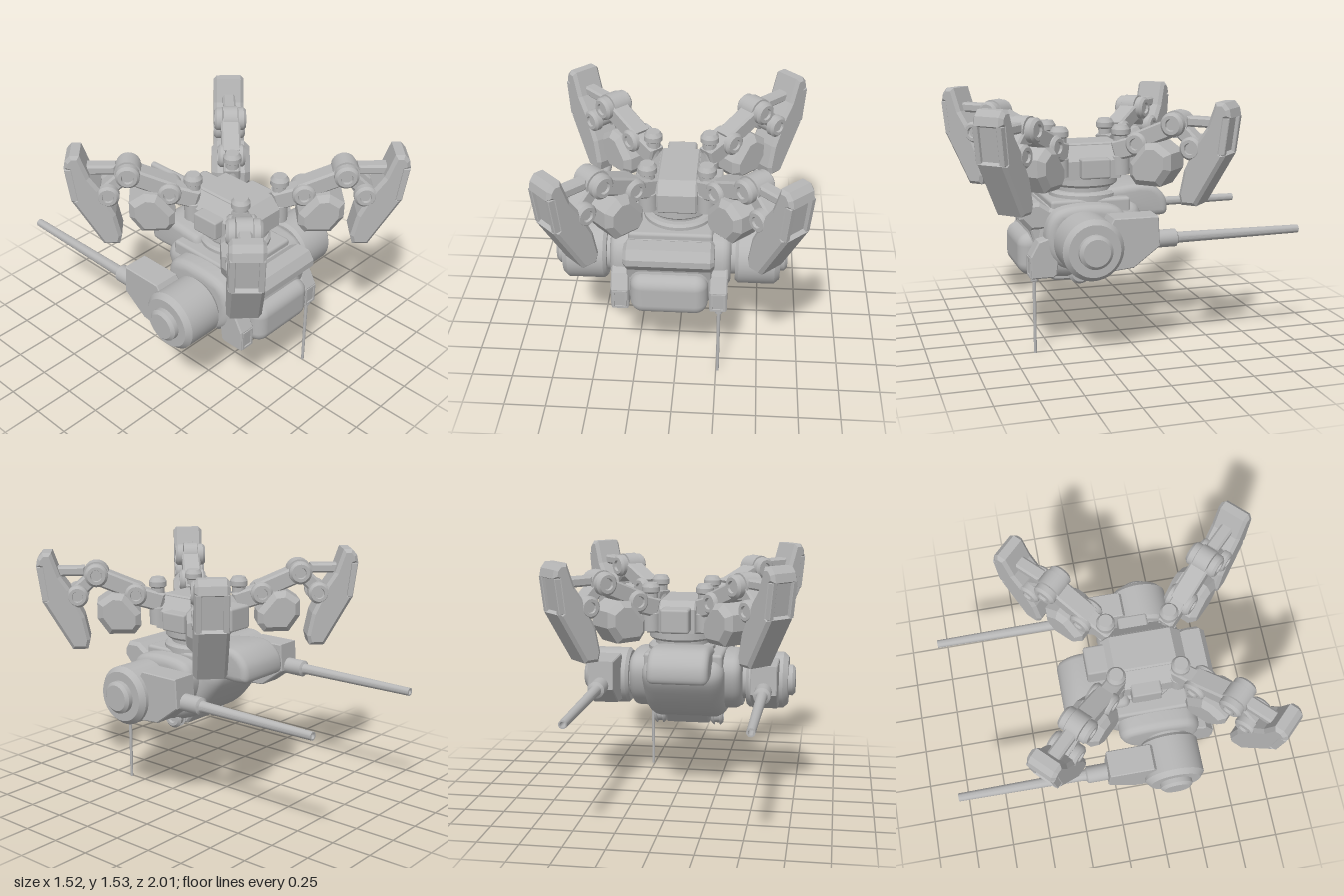
import * as THREE from 'three';
import { toCreasedNormals } from 'three/addons/utils/BufferGeometryUtils.js';
import { RoundedBoxGeometry } from 'three/addons/geometries/RoundedBoxGeometry.js';

const steel = new THREE.MeshStandardMaterial({ color: 0xb6b6b6 });
steel.name = 'steelGrey';

const CX = -0.037; // centreline of the gun body

function add(parent, name, geo, x = 0, y = 0, z = 0) {
  const m = new THREE.Mesh(geo, steel);
  m.name = name;
  m.position.set(x, y, z);
  parent.add(m);
  return m;
}

// Bevelled plate: outline in the x-y plane, centred on z
function plate(points, width, bevel = 0.012, round = 0) {
  let pts = points.map(p => new THREE.Vector2(p[0], p[1]));
  if (round) {
    const c = new THREE.CatmullRomCurve3(pts.map(p => new THREE.Vector3(p.x, p.y, 0)), true, 'centripetal');
    pts = c.getPoints(48).slice(0, -1).map(p => new THREE.Vector2(p.x, p.y));
  }
  const geo = new THREE.ExtrudeGeometry(new THREE.Shape(pts), {
    depth: width - 2 * bevel, bevelEnabled: bevel > 0, bevelThickness: bevel,
    bevelSize: bevel, bevelOffset: -bevel, bevelSegments: round || 1,
  });
  geo.translate(0, 0, -(width - 2 * bevel) / 2);
  return round ? toCreasedNormals(geo, 0.6) : geo;
}

// Same, with the outline given as (z, y) and the width along x
const sidePlate = (...a) => plate(...a).rotateY(-Math.PI / 2);

// Turned part: profile of [radius, height], sharp edges kept
function turned(profile, seg = 32) {
  const g = new THREE.LatheGeometry(profile.map(p => new THREE.Vector2(p[0], p[1])), seg);
  return toCreasedNormals(g, 0.5);
}

// Roller along z with dished hub caps on both ends
function roller(parent, name, u, v, r, half) {
  const b = r * 0.22;
  const geo = turned([[0, -half + b], [r * 0.45, -half + b], [r * 0.5, -half], [r * 0.78, -half], [r, -half + b],
    [r, -half * 0.5], [r * 0.8, -half * 0.45], [r * 0.8, half * 0.45], [r, half * 0.5],
    [r, half - b], [r * 0.78, half], [r * 0.5, half], [r * 0.45, half - b], [0, half - b]], 28);
  geo.rotateX(Math.PI / 2);
  return add(parent, name, geo, u, v, 0);
}

// Straight arm between two joints
function link(parent, name, a, b, h, w) {
  const dx = b[0] - a[0], dy = b[1] - a[1], l = Math.hypot(dx, dy) / 2;
  const m = add(parent, name, plate([[-l, -h / 2], [l, -h / 2], [l, h / 2], [-l, h / 2]], w),
    (a[0] + b[0]) / 2, (a[1] + b[1]) / 2, 0);
  m.rotation.z = Math.atan2(dy, dx);
}

// One leg, reaching along +x
function makeLeg() {
  const leg = new THREE.Group();
  leg.name = 'leg';
  add(leg, 'hipPivot', turned([[0, 1.06], [0.055, 1.06], [0.055, 1.17], [0.042, 1.18], [0.042, 1.295],
    [0.056, 1.305], [0.056, 1.335], [0.04, 1.36], [0, 1.36]]));
  link(leg, 'hipArm', [-0.03, 1.2], [0.14, 1.25], 0.12, 0.1);
  roller(leg, 'hipRoller', 0.14, 1.26, 0.07, 0.085);
  link(leg, 'upperArm', [0.12, 1.27], [0.38, 1.38], 0.11, 0.12);
  roller(leg, 'kneeRoller', 0.38, 1.39, 0.072, 0.1);
  add(leg, 'kneeDrum', new THREE.CylinderGeometry(0.08, 0.08, 0.09, 24).rotateX(Math.PI / 2), 0.38, 1.39, 0);
  link(leg, 'lowerArm', [0.37, 1.4], [0.52, 1.26], 0.09, 0.1);
  roller(leg, 'ankleRoller', 0.5, 1.26, 0.068, 0.1);
  link(leg, 'ankleStrut', [0.45, 1.41], [0.64, 1.41], 0.06, 0.08);
  add(leg, 'thighArmour', plate([[0.11, 1.07], [0.11, 1.15], [0.21, 1.27], [0.29, 1.28], [0.38, 1.22],
    [0.38, 1.12], [0.31, 1.02], [0.15, 1.02]], 0.24, 0.035));

  // Foot with a sunken panel in its outer face
  add(leg, 'foot', plate([[0.43, 0.985], [0.445, 0.925], [0.54, 0.925], [0.718, 1.235], [0.695, 1.25], [0.718, 1.44],
    [0.745, 1.45], [0.735, 1.5], [0.705, 1.535], [0.65, 1.535], [0.60, 1.39], [0.545, 1.31], [0.46, 1.13]], 0.195, 0.02));
  for (const s of [-1, 1])
    add(leg, 'footPanelEdge', plate([[0.66, 1.235], [0.714, 1.235], [0.742, 1.45], [0.69, 1.45]], 0.033, 0.004),
      0, 0, s * 0.077);
  return leg;
}

// Leg hub and swivel ring
function makeHub() {
  const hub = new THREE.Group();
  hub.name = 'hub';
  add(hub, 'swivelRing', turned([[0, 0.9], [0.215, 0.9], [0.215, 0.94], [0.2, 0.955], [0.17, 0.955], [0.17, 0.985],
    [0.195, 0.985], [0.21, 1.0], [0.21, 1.06], [0, 1.06]], 48), 0, 0, 0.235);
  add(hub, 'hubCore', sidePlate([[0, 1.05], [0, 1.2], [0.05, 1.25], [0.42, 1.25], [0.485, 1.18], [0.485, 1.07], [0.46, 1.05]],
    0.235, 0.01));
  add(hub, 'hubShoulders', plate([[-0.2, 1.04], [0.2, 1.04], [0.2, 1.15], [0.12, 1.235], [-0.12, 1.235], [-0.2, 1.15]], 0.38),
    0, 0, 0.235);
  add(hub, 'hubSideBlocks', new RoundedBoxGeometry(0.52, 0.12, 0.18, 1, 0.012), 0, 1.11, 0.22);
  add(hub, 'hubRearBox', new RoundedBoxGeometry(0.18, 0.15, 0.16, 1, 0.015), 0, 1.14, -0.03);
  for (const sx of [-1, 1]) for (const sz of [-1, 1]) {
    const leg = makeLeg();
    leg.position.set(sx * 0.17, 0, 0.235 + sz * 0.19);
    leg.rotation.y = Math.atan2(-sz, sx);
    hub.add(leg);
  }
  return hub;
}

// One side of the body: engine pod, gun and cheek block (s = +1 is left)
function makeSide(s) {
  const side = new THREE.Group();
  side.name = s > 0 ? 'leftSide' : 'rightSide';
  const pod = turned([[0, 0.25], [0.13, 0.25], [0.13, 0.385], [0.165, 0.385], [0.183, 0.405], [0.183, 0.62],
    [0.155, 0.652], [0.1, 0.652], [0.1, 0.68], [0.08, 0.697], [0, 0.697]], 40);
  pod.rotateZ(-s * Math.PI / 2);
  add(side, 'enginePod', pod, 0, 0.7, 0.33);
  add(side, 'gunMount', sidePlate([[0.2, 0.87], [-0.07, 0.87], [-0.08, 0.69], [0.08, 0.57], [0.3, 0.55], [0.3, 0.7]], 0.165, 0.006),
    s * 0.515, 0, 0);
  const barrel = turned([[0, 0.06], [0.053, 0.06], [0.053, 0.2], [0.036, 0.21], [0.033, 0.23], [0.025, 1],
    [0.016, 1], [0.016, 0.9], [0, 0.9]], 24);
  barrel.rotateX(-Math.PI / 2);
  add(side, 'gunBarrel', barrel, s * 0.515, 0.715, 0);
  add(side, 'cheekBlock', sidePlate([[0.48, 0.49], [0.5, 0.475], [0.635, 0.475], [0.64, 0.61], [0.59, 0.7], [0.45, 0.74]], 0.106, 0.008),
    s * 0.292, 0, 0);
  const frame = new THREE.Shape([[-0.042, -0.06], [0.042, -0.06], [0.042, 0.06], [-0.042, 0.06]].map(p => new THREE.Vector2(...p)));
  frame.holes.push(new THREE.Path([[-0.03, -0.048], [-0.03, 0.048], [0.03, 0.048], [0.03, -0.048]].map(p => new THREE.Vector2(...p))));
  add(side, 'cheekFrame', new THREE.ExtrudeGeometry(frame, { depth: 0.009, bevelEnabled: false }), s * 0.292, 0.545, 0.637);
  const belly = roller(side, 'bellyRoller', s * 0.19, 0.458, 0.07, 0.038);
  belly.rotation.y = Math.PI / 2;
  belly.position.z = 0.305;
  return side;
}

function makeBody() {
  const body = new THREE.Group();
  body.name = 'body';
  body.position.x = CX;
  add(body, 'bellyHull', sidePlate([[0.55, 0.86], [0.2, 0.88], [-0.05, 0.87], [-0.09, 0.78], [0, 0.63], [0.12, 0.51],
    [0.28, 0.445], [0.45, 0.44], [0.6, 0.5], [0.62, 0.7]], 0.52, 0.09, 6));
  add(body, 'shoulders', sidePlate([[0.53, 0.8], [0.46, 0.88], [0.1, 0.88], [0.04, 0.8], [0.08, 0.64], [0.2, 0.535],
    [0.42, 0.52], [0.53, 0.62]], 0.72, 0.05, 4));
  add(body, 'topDeck', new RoundedBoxGeometry(0.5, 0.1, 0.5, 2, 0.02), 0, 0.87, 0.24);
  add(body, 'rearHump', sidePlate([[0.12, 0.95], [0.04, 0.97], [-0.14, 0.98], [-0.21, 0.95], [-0.265, 0.88], [-0.265, 0.79],
    [-0.2, 0.775], [-0.08, 0.78], [0.12, 0.78]], 0.38, 0.04, 4));
  add(body, 'frontVisor', sidePlate([[0.45, 0.75], [0.62, 0.75], [0.685, 0.82], [0.685, 0.86], [0.65, 0.915], [0.56, 0.92],
    [0.5, 0.88], [0.45, 0.88]], 0.53, 0.022));
  add(body, 'visorBrow', sidePlate([[0.45, 0.68], [0.6, 0.68], [0.62, 0.76], [0.45, 0.8]], 0.5, 0.01));
  add(body, 'chin', new RoundedBoxGeometry(0.46, 0.26, 0.34, 5, 0.075), 0, 0.59, 0.515);
  add(body, 'bellyPlate', sidePlate([[0.2, 0.47], [0.25, 0.41], [0.32, 0.395], [0.45, 0.4], [0.55, 0.46], [0.5, 0.5], [0.22, 0.5]],
    0.29, 0.012));
  for (const s of [-1, 1]) body.add(makeSide(s));
  return body;
}

export function createModel() {
  const model = new THREE.Group();
  model.name = 'walkerTurret';
  model.add(makeHub(), makeBody());
  // Thin aerial under the left cheek
  add(model, 'aerial', turned([[0, 0], [0.009, 0], [0.011, 0.45], [0.022, 0.455], [0.022, 0.48], [0, 0.48]], 16), 0.26, 0, 0.612);
  return model;
}
